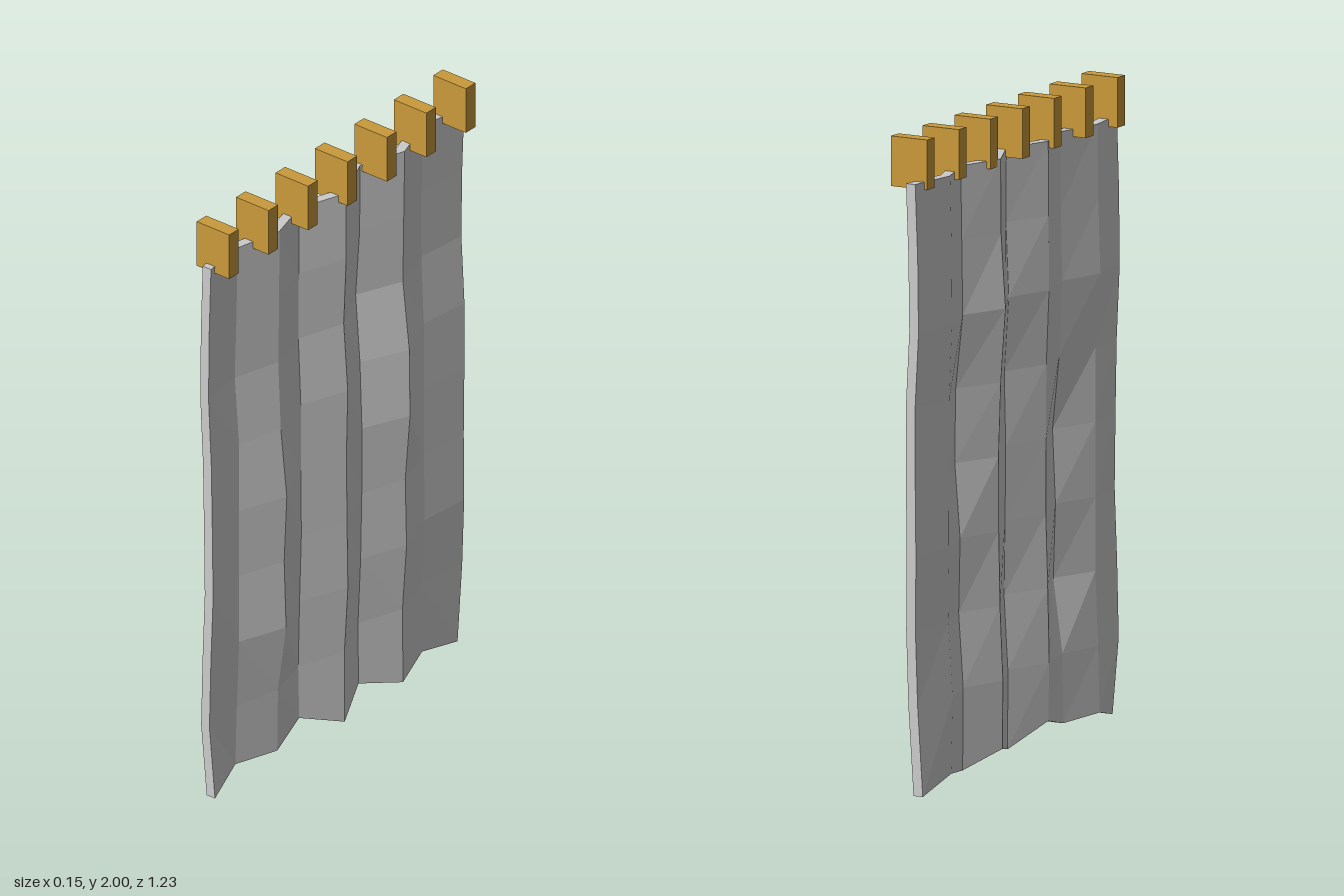
import * as THREE from 'three';

// Columns of the cloth: [z, fold offset in x, height of the hem]
const FOLDS = [
  [0.62, 0.005, 0.04], [0.47, -0.015, 0.075], [0.315, 0.02, 0.065],
  [0.17, -0.022, 0.1], [0.015, 0.032, 0.035], [-0.14, -0.04, 0.07],
  [-0.29, 0.01, 0.025], [-0.44, -0.042, 0.045], [-0.61, -0.025, 0.003],
];
// Sideways sway of each row, from top to hem
const SWAY = [0, -0.002, -0.008, 0.004, 0.006, 0.004, 0.003, -0.006, -0.004];
const ROWS = SWAY.length;
const TOP = 1.87;
const THICK = 0.032;

// Extra local bulges: [row, column, offset]
const BULGES = [
  [2, 5, -0.012], [3, 6, 0.018], [4, 6, 0.016], [4, 2, 0.02], [5, 2, 0.016],
  [6, 2, 0.02], [7, 7, -0.006], [8, 0, 0.018], [8, 8, -0.016], [0, 8, 0.004],
];

function seeded(seed) {
  return () => {
    seed = (seed * 16807) % 2147483647;
    return seed / 2147483647 - 0.5;
  };
}

// Thick folded sheet: two vertex layers joined by a closed rim
function clothGeometry() {
  const rand = seeded(71);
  const cols = FOLDS.length;
  const centre = [];
  for (let r = 0; r < ROWS; r++) {
    FOLDS.forEach(([z, fold, hem], c) => {
      const gridY = TOP - (r * (TOP - 0.05)) / (ROWS - 1);
      const bulge = BULGES.find(([br, bc]) => br === r && bc === c);
      const jitter = r === 0 ? 0 : rand() * 0.01;
      const x = fold + SWAY[r] + jitter + (bulge ? bulge[2] : 0);
      centre.push([x, r === ROWS - 1 ? hem : gridY, z]);
    });
  }
  const positions = [];
  for (const side of [1, -1]) {
    for (const [x, y, z] of centre) positions.push(x + (side * THICK) / 2, y, z);
  }

  const index = [];
  const quad = (a, b, c, d) => index.push(a, b, c, a, c, d);
  const back = centre.length;
  const at = (r, c) => r * cols + c;
  for (let r = 0; r < ROWS - 1; r++) {
    for (let c = 0; c < cols - 1; c++) {
      const [a, b, d, e] = [at(r, c), at(r + 1, c), at(r + 1, c + 1), at(r, c + 1)];
      quad(a, b, d, e);
      quad(back + a, back + e, back + d, back + b);
    }
  }
  // Rim strips along the edges
  for (let c = 0; c < cols - 1; c++) {
    const t = at(0, c), h = at(ROWS - 1, c);
    quad(t, t + 1, back + t + 1, back + t);
    quad(h + 1, h, back + h, back + h + 1);
  }
  for (let r = 0; r < ROWS - 1; r++) {
    const f = at(r, 0), g = at(r + 1, 0);
    const k = at(r, cols - 1), l = at(r + 1, cols - 1);
    quad(g, f, back + f, back + g);
    quad(k, l, back + l, back + k);
  }

  const geo = new THREE.BufferGeometry();
  geo.setAttribute('position', new THREE.Float32BufferAttribute(positions, 3));
  geo.setIndex(index);
  const flat = geo.toNonIndexed();
  flat.computeVertexNormals();
  return flat;
}

export function createModel() {
  const model = new THREE.Group();
  model.name = 'curtain';

  const cloth = new THREE.Mesh(
    clothGeometry(),
    new THREE.MeshStandardMaterial({ color: 0xcccccc, flatShading: true })
  );
  cloth.name = 'cloth';
  model.add(cloth);

  // Row of hanging blocks along the top edge
  const hangers = new THREE.Group();
  hangers.name = 'hangers';
  const blockGeo = new THREE.BoxGeometry(0.126, 0.153, 0.045);
  const blockMat = new THREE.MeshStandardMaterial({ color: 0xc99a3b, flatShading: true });
  for (let i = 0; i < 7; i++) {
    const block = new THREE.Mesh(blockGeo, blockMat);
    block.name = `hanger${i + 1}`;
    block.position.set(0.011, 1.9235, 0.576 - i * 0.1865);
    hangers.add(block);
  }
  model.add(hangers);
  return model;
}
